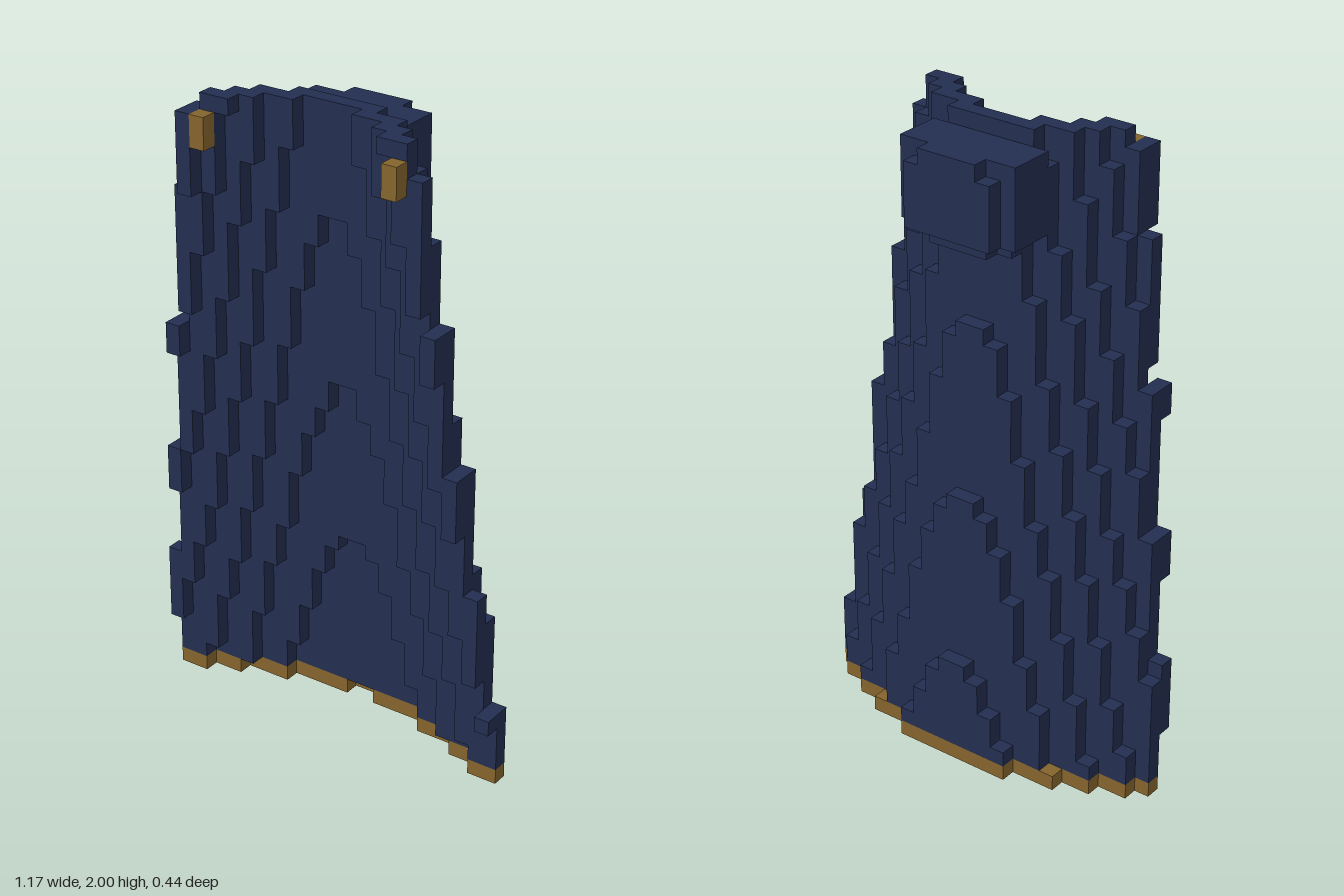
import * as THREE from 'three';

const S = 2 / 41; // edge of one block
const H = 41;

const navy = new THREE.MeshStandardMaterial({ color: 0x232e50 });
navy.name = 'navy cloth';
const gold = new THREE.MeshStandardMaterial({ color: 0x84642c });
gold.name = 'gold trim';

const key = (x, y, z) => `${x},${y},${z}`;

// Six block sides: normal and the two edge directions (u x v = normal)
const SIDES = [
  [[1, 0, 0], [0, 1, 0], [0, 0, 1]], [[-1, 0, 0], [0, 0, 1], [0, 1, 0]],
  [[0, 1, 0], [0, 0, 1], [1, 0, 0]], [[0, -1, 0], [1, 0, 0], [0, 0, 1]],
  [[0, 0, 1], [1, 0, 0], [0, 1, 0]], [[0, 0, -1], [0, 1, 0], [1, 0, 0]],
];

// Mesh of the exposed faces of one part's blocks
function blockMesh(name, cells, solid, material) {
  const pos = [], nor = [], idx = [];
  for (const [x, y, z] of cells) {
    for (const [n, u, v] of SIDES) {
      if (solid.has(key(x + n[0], y + n[1], z + n[2]))) continue;
      const first = pos.length / 3;
      for (const [a, b] of [[-1, -1], [1, -1], [1, 1], [-1, 1]]) {
        const c = [x, y, z].map((p, i) => p + 0.5 + (n[i] + a * u[i] + b * v[i]) / 2);
        pos.push(c[0] * S, c[1] * S, (c[2] - 4.5) * S);
        nor.push(...n);
      }
      idx.push(first, first + 1, first + 2, first, first + 2, first + 3);
    }
  }
  const geometry = new THREE.BufferGeometry();
  geometry.setAttribute('position', new THREE.Float32BufferAttribute(pos, 3));
  geometry.setAttribute('normal', new THREE.Float32BufferAttribute(nor, 3));
  geometry.setIndex(idx);
  const mesh = new THREE.Mesh(geometry, material);
  mesh.name = name;
  return mesh;
}

// Half width in blocks: one block narrower at each listed row
const STEPS = { '-1': [9, 17, 26, 35, 40], 1: [5, 13, 21, 30, 39] };
const halfWidth = (side, y) => 12 - STEPS[side].filter((row) => y >= row).length;

// Forward sweep of the cloth away from the middle
function sweep(i, y) {
  const u = (i + 0.5) / (12 - 4.6 * y / 40);
  return 2.4 * (1 - Math.cos(2.2 * u));
}

export function createModel() {
  const solid = new Set();
  const parts = { cloak: [], hem: [], hood: [], clasps: [] };
  const add = (part, x, y, z) => {
    if (solid.has(key(x, y, z))) return;
    solid.add(key(x, y, z));
    parts[part].push([x, y, z]);
  };

  for (const side of [-1, 1]) {
    const column = (i) => (side > 0 ? i : -1 - i);

    // Curved, sloping cloak with a gold bottom row
    for (let y = 0; y < H; y++) {
      for (let i = 0; i < halfWidth(side, y); i++) {
        const bend = sweep(i, y);
        const back = Math.floor(3 + (y - 29) / 11.2 + bend);
        let front = Math.min(8, Math.floor(5.05 + (y - 34) / 11 + bend));
        if (side < 0 && i === 7 && y >= 35) front = 9;
        for (let z = back; z < Math.max(front, back + 1); z++) {
          add(y === 0 ? 'hem' : 'cloak', column(i), y, z);
        }
      }
    }

    // Rounded hood hanging behind the neck
    for (let y = 34; y < 40; y++) {
      for (let i = 0; i < 5; i++) {
        for (let z = 0; z < 4; z++) {
          const d = ((i + 0.5) / 4.5) ** 2 + ((y - 36.9) / 3.4) ** 4 + ((z - 2.5) / 3.3) ** 2;
          if (d < 1) add('hood', column(i), y, z);
        }
      }
    }

    // Shoulder clasps
    for (const y of [38, 39]) add('clasps', column(6), y, 8);
  }

  const group = new THREE.Group();
  group.name = 'hoodedCloak';
  for (const [name, cells] of Object.entries(parts)) {
    const material = name === 'hem' || name === 'clasps' ? gold : navy;
    group.add(blockMesh(name, cells, solid, material));
  }
  return group;
}
